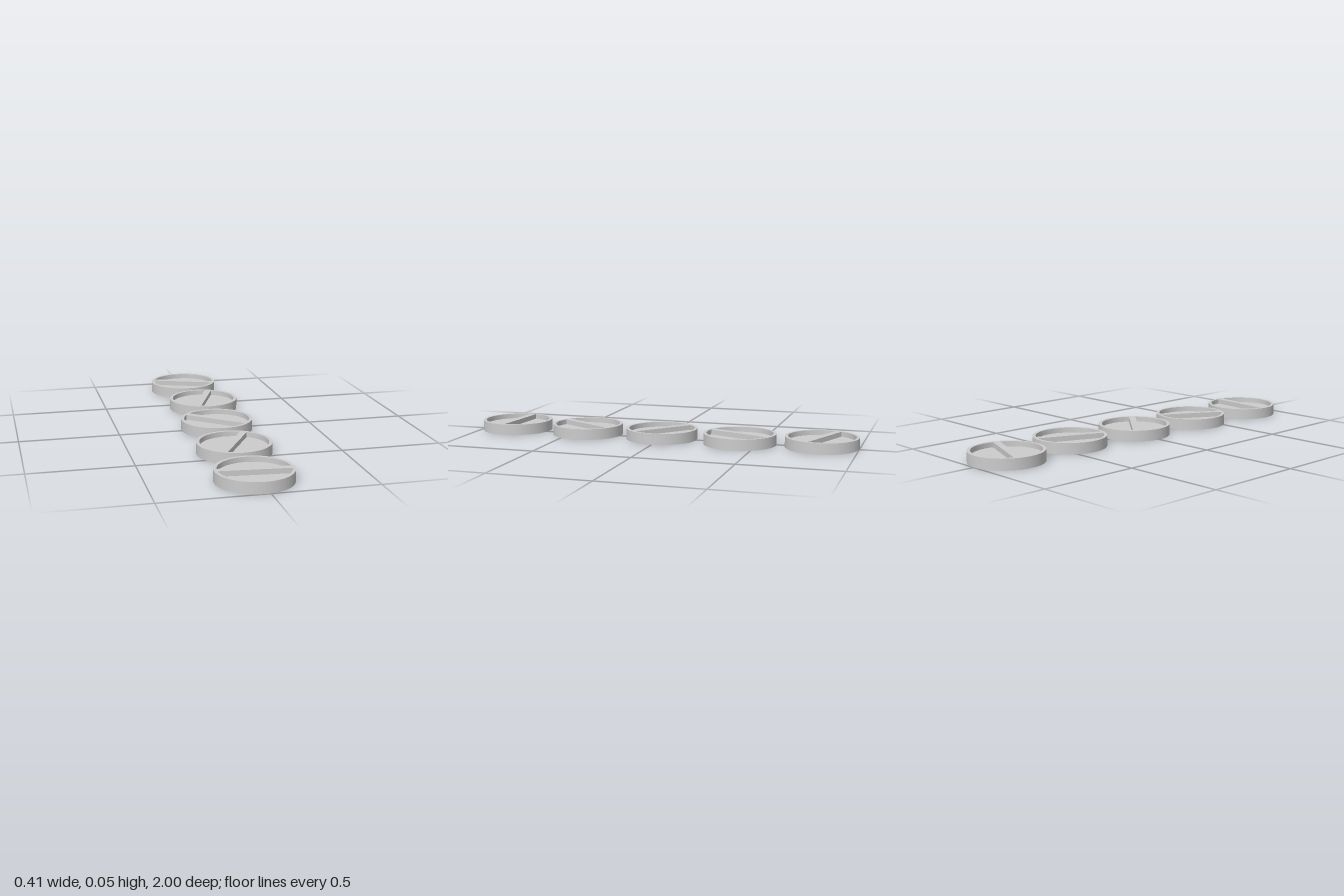
import * as THREE from 'three';
import { toCreasedNormals } from 'three/addons/utils/BufferGeometryUtils.js';

const RADIUS = 0.182, INNER = 0.166, HEIGHT = 0.055, FLOOR = 0.03, BAR_WIDTH = 0.034;

// Per disc: x, z, and turn of the bar in degrees
const DISCS = [
  [-0.005, -0.818, -20.5],
  [0.024, -0.412, 68],
  [0.001, 0.002, -40.4],
  [-0.011, 0.411, 60],
  [-0.024, 0.818, -5],
];

// Shallow dish: base, outer wall, rim and recessed floor
function dishGeometry() {
  const profile = [
    [0, 0], [RADIUS, 0], [RADIUS, HEIGHT], [INNER, HEIGHT], [INNER, FLOOR], [0, FLOOR],
  ].map(([x, y]) => new THREE.Vector2(x, y));
  return toCreasedNormals(new THREE.LatheGeometry(profile, 96), Math.PI / 6);
}

// Bar across the recess, its ends rounded to meet the rim
function barGeometry() {
  const a = Math.asin(BAR_WIDTH / 2 / INNER);
  const shape = new THREE.Shape();
  shape.absarc(0, 0, INNER, -a, a, false);
  shape.absarc(0, 0, INNER, Math.PI - a, Math.PI + a, false);
  const geometry = new THREE.ExtrudeGeometry(shape, {
    depth: HEIGHT - FLOOR, bevelEnabled: false, curveSegments: 6,
  });
  return geometry.rotateX(-Math.PI / 2).translate(0, FLOOR, 0);
}

export function createModel() {
  const model = new THREE.Group();
  model.name = 'discRow';
  const material = new THREE.MeshStandardMaterial({ color: 0xcccccc });
  const dishShape = dishGeometry();
  const barShape = barGeometry();

  DISCS.forEach(([x, z, turn], i) => {
    const disc = new THREE.Group();
    disc.name = `disc${i + 1}`;
    const dish = new THREE.Mesh(dishShape, material);
    dish.name = 'dish';
    const bar = new THREE.Mesh(barShape, material);
    bar.name = 'crossBar';
    disc.add(dish, bar);
    disc.position.set(x, 0, z);
    disc.rotation.y = THREE.MathUtils.degToRad(turn);
    model.add(disc);
  });
  return model;
}
